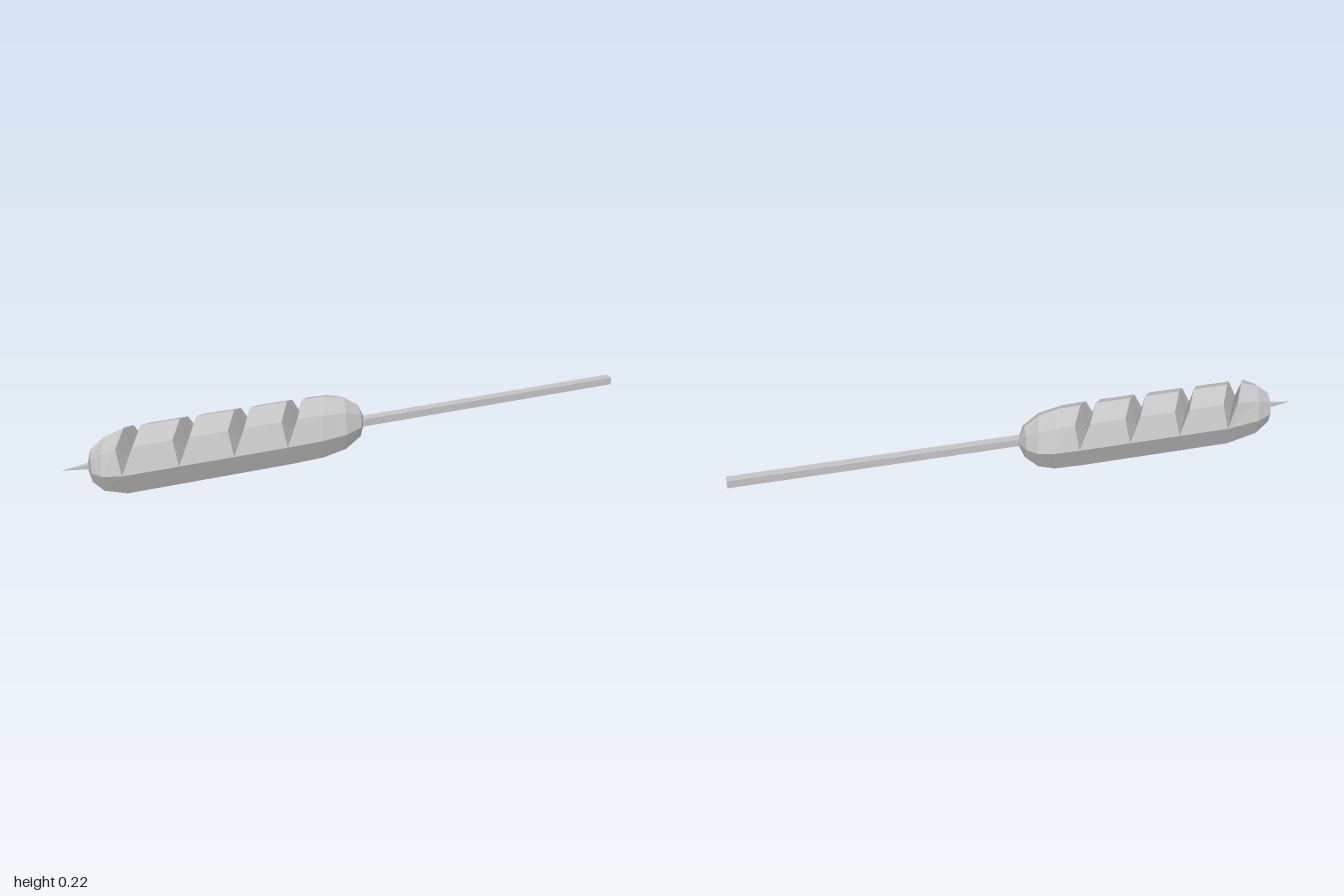
import * as THREE from 'three';

const SIDES = 8, AXIS_Y = 0.113, RADIUS = 0.112, SHEAR = 0.58;

// One eight-sided cross-section, slanted along x by the given shear
function ring(x, r, shear) {
  return Array.from({ length: SIDES }, (_, i) => {
    const a = (i / SIDES) * Math.PI * 2;
    const z = r * Math.sin(a);
    return new THREE.Vector3(x - shear * z, AXIS_Y + r * Math.cos(a), z);
  });
}

// Three cross-sections of a V cut: the lips meet the floor at the side edges
function cut(x, halfWidth = 0.027) {
  return [-1, 0, 1].map((side) => {
    const points = ring(x, RADIUS, SHEAR);
    for (const i of [7, 0, 1]) {
      points[i].x += side * halfWidth;
      if (side === 0) points[i].y = AXIS_Y + 0.002;
    }
    return points;
  });
}

// Skin the cross-sections with flat facets
function loft(rings) {
  const pos = [];
  const tri = (a, b, c) => {
    const area = b.clone().sub(a).cross(c.clone().sub(a)).length();
    if (area > 1e-8) for (const p of [a, b, c]) pos.push(p.x, p.y, p.z);
  };
  for (let j = 0; j < rings.length - 1; j++) {
    for (let i = 0; i < SIDES; i++) {
      const k = (i + 1) % SIDES;
      const [p, s, q, t] = [rings[j][i], rings[j][k], rings[j + 1][i], rings[j + 1][k]];
      tri(p, s, q);
      tri(s, t, q);
    }
  }
  const geo = new THREE.BufferGeometry();
  geo.setAttribute('position', new THREE.Float32BufferAttribute(pos, 3));
  geo.computeVertexNormals();
  return geo;
}

export function createModel() {
  const group = new THREE.Group();
  const grey = new THREE.MeshStandardMaterial({ color: 0xc4c4c4, flatShading: true });
  grey.name = 'light grey';

  const add = (name, geometry, x, y, z) => {
    const mesh = new THREE.Mesh(geometry, grey);
    mesh.name = name;
    mesh.position.set(x, y, z);
    group.add(mesh);
    return mesh;
  };

  // Sausage with rounded ends and four diagonal cuts across its upper half
  const rings = [
    ring(-0.917, 0, 0),
    ring(-0.902, 0.055, 0.2),
    ring(-0.858, 0.09, 0.35),
  ];
  for (let n = 0; n < 4; n++) rings.push(...cut(-0.765 + n * 0.181));
  rings.push(
    ring(-0.115, 0.109, 0.45),
    ring(-0.045, 0.093, 0.3),
    ring(0.005, 0.057, 0.15),
    ring(0.03, 0, 0),
  );
  add('sausage', loft(rings), 0, 0, 0);

  // Square stick
  add('stick', new THREE.BoxGeometry(1.03, 0.026, 0.032), 0.485, AXIS_Y, 0.012);

  // Pointed end of the stick
  const tip = new THREE.ConeGeometry(0.014, 0.11, 4);
  tip.rotateY(Math.PI / 4);
  tip.rotateZ(Math.PI / 2);
  add('stickTip', tip, -0.945, AXIS_Y + 0.003, 0.007);

  return group;
}
